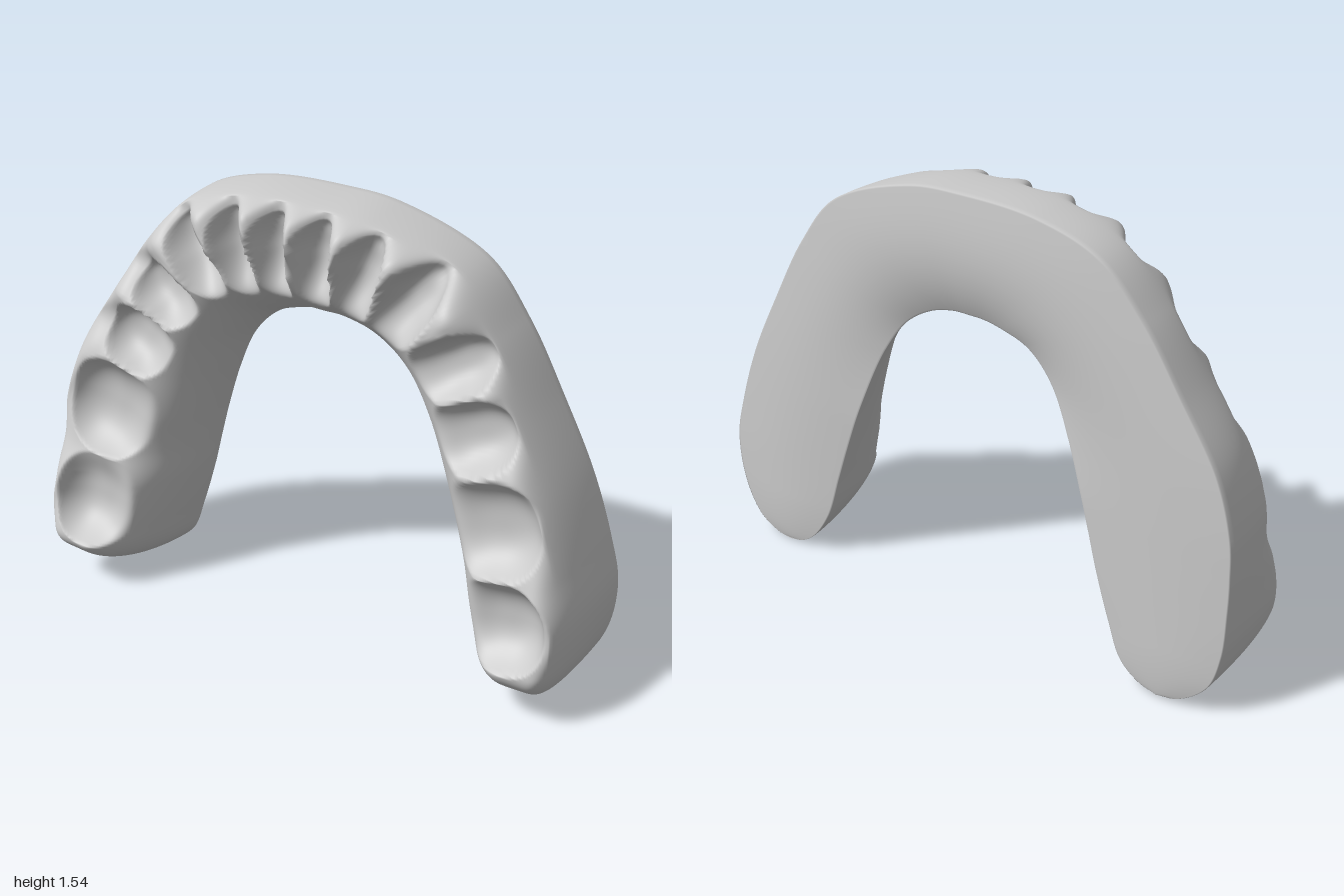
import * as THREE from 'three';

// Stations along the arch: outer x, outer y, inner x, inner y, ridge z
const STATIONS = [
  [-0.77, 0.01, -0.77, 0.01, 0.2], [-0.85, 0.03, -0.7, 0.03, 0.23], [-0.95, 0.12, -0.63, 0.09, 0.26],
  [-0.99, 0.25, -0.58, 0.22, 0.27], [-1, 0.42, -0.525, 0.4, 0.22], [-1, 0.54, -0.495, 0.52, 0.165],
  [-0.99, 0.68, -0.46, 0.65, 0.155],
  [-0.93, 0.88, -0.4, 0.82, 0.125], [-0.8, 1.09, -0.32, 0.98, 0.11], [-0.66, 1.3, -0.225, 1.073, 0.1],
  [-0.5, 1.46, -0.13, 1.107, 0.11], [-0.28, 1.53, -0.06, 1.12, 0.12], [0, 1.54, 0, 1.12, 0.13],
  [0.2, 1.52, 0.06, 1.117, 0.12], [0.5, 1.4, 0.15, 1.09, 0.1], [0.645, 1.22, 0.25, 1.02, 0.09],
  [0.775, 0.98, 0.33, 0.9, 0.1], [0.89, 0.74, 0.42, 0.68, 0.13], [0.965, 0.52, 0.49, 0.48, 0.16],
  [1, 0.36, 0.535, 0.34, 0.2], [0.98, 0.18, 0.59, 0.17, 0.2], [0.92, 0.06, 0.66, 0.06, 0.2],
  [0.84, 0.01, 0.72, 0.015, 0.18], [0.78, 0, 0.78, 0, 0.17],
];

// Tooth sockets: x, y, radial half size, tangential half size, outward angle, floor z, outward tilt, outer lip z
const SOCKETS = [
  [-0.78, 0.35, 0.15, 0.165, 178, 0.13, 0.1, 0.22], [-0.75, 0.685, 0.165, 0.175, 168, 0.05, 0.1, 0.11],
  [-0.65, 0.95, 0.125, 0.12, 158, 0, 0.2, 0.04], [-0.55, 1.14, 0.11, 0.105, 145, -0.02, 0.2, 0],
  [-0.42, 1.31, 0.125, 0.082, 125, -0.03, 0.25, -0.02], [-0.26, 1.36, 0.125, 0.075, 105, -0.02, 0.1, 0],
  [-0.11, 1.375, 0.12, 0.076, 94, -0.02, 0.1, 0], [0.045, 1.38, 0.12, 0.076, 87, -0.02, 0.1, 0],
  [0.2, 1.36, 0.125, 0.077, 73, -0.02, 0.1, -0.01], [0.36, 1.295, 0.135, 0.09, 55, -0.03, 0.3, -0.06],
  [0.53, 1.135, 0.125, 0.105, 30, -0.02, 0.25, -0.02], [0.615, 0.93, 0.135, 0.125, 22, 0, 0.2, 0.03],
  [0.71, 0.65, 0.165, 0.165, 14, 0.04, 0.1, 0.09], [0.78, 0.345, 0.155, 0.155, 5, 0.08, 0.1, 0.16],
].map(([x, y, r, w, deg, floor, tilt, lip]) => {
  const a = deg * Math.PI / 180;
  return { x, y, r, w, c: Math.cos(a), s: Math.sin(a), floor, tilt, lip };
});

const { lerp, smoothstep } = THREE.MathUtils;
const backZ = (x, y) => -0.2 - 0.05 * x - 0.013 * (1 - y / 1.54);

// Ridge height (0..1) across the arch: full outer shoulder, softer inner slope
function ridge(t, inner) {
  if (t < 0.28) return Math.sqrt(1 - (1 - t / 0.28) ** 4);
  if (t < inner) return 1;
  return Math.max(0, 1 - ((t - inner) / (1 - inner)) ** 2.3) ** 0.75;
}

// Lower the gum margin beside each socket, then press the sockets in with a crisp rim
function carve(x, y, z) {
  let gum = z;
  const near = SOCKETS.map(k => {
    const dx = x - k.x, dy = y - k.y;
    return { k, radial: dx * k.c + dy * k.s, tangent: dy * k.c - dx * k.s };
  }).filter(n => Math.hypot(n.radial, n.tangent) < 0.45);
  for (const { k, radial, tangent } of near) {
    const scallop = Math.exp(-((1.35 * tangent / k.w) ** 2)) * smoothstep(radial, -0.2 * k.r, 0.9 * k.r);
    gum = Math.min(gum, z - Math.max(0, z - k.lip) * scallop);
  }
  let result = gum;
  const open = smoothstep(y, 0.8, 1.3);
  for (const { k, radial, tangent } of near) {
    // Front sockets run out onto the inner slope
    const reach = radial < 0 ? k.r * (1 + 0.45 * open) : k.r;
    const power = lerp(2.5, 2.1, open);
    const d = Math.abs(radial / reach) ** 2.5 + Math.abs(tangent / k.w) ** power;
    if (d >= 1) continue;
    const floor = k.floor - k.tilt * radial;
    result = Math.min(result, gum - Math.max(0, gum - floor) * (1 - d ** 1.25));
  }
  return result;
}

function archGeometry(nu = 460, nv = 84, nb = 14) {
  const outer = new THREE.CatmullRomCurve3(STATIONS.map(s => new THREE.Vector3(s[0], s[1], s[4])));
  const inner = new THREE.CatmullRomCurve3(STATIONS.map(s => new THREE.Vector3(s[2], s[3], 0)));
  const pos = [], index = [], row = nv + nb;
  for (let i = 0; i <= nu; i++) {
    const o = outer.getPoint(i / nu), n = inner.getPoint(i / nu);
    const y0 = (o.y + n.y) / 2;
    // Rounded end of each leg, and a wider inner slope behind the front teeth
    const end = Math.max(0, 1 - (1 - Math.min(1, Math.max(0, y0 - 0.005) / 0.2)) ** 2) ** 0.65;
    const shoulder = lerp(0.43, 0.3, smoothstep(y0, 0.5, 1.2));
    const lift = 0.04 * smoothstep(y0, 0.6, 1.2);
    // Slightly crowned back, eased off toward the inner edge of the arch
    const back = (x, y, t) => backZ(x, y) + lift * t ** 4 - 0.016 * Math.sin(Math.PI * t) * end;
    for (let j = 0; j < row; j++) {
      const front = j <= nv;
      const t = 0.5 - 0.5 * Math.cos(Math.PI * (front ? j / nv : 1 - (j - nv) / nb));
      const x = o.x + (n.x - o.x) * t, y = o.y + (n.y - o.y) * t;
      const b = back(x, y, t);
      pos.push(x, y, front ? carve(x, y, b + (o.z - b) * ridge(t, shoulder) * end) : b);
    }
  }
  // Strips around the closed cross-section
  for (let i = 0; i < nu; i++) {
    for (let j = 0; j < row; j++) {
      const a = i * row + j, b = i * row + (j + 1) % row;
      index.push(a, b, a + row, b, b + row, a + row);
    }
  }
  const geo = new THREE.BufferGeometry();
  geo.setAttribute('position', new THREE.Float32BufferAttribute(pos, 3));
  geo.setIndex(index);
  geo.computeVertexNormals();
  return geo;
}

export function createModel() {
  const group = new THREE.Group();
  group.name = 'dentalArch';
  const gum = new THREE.Mesh(archGeometry(), new THREE.MeshStandardMaterial({ color: 0xcccccc }));
  gum.name = 'gumWithToothSockets';
  group.add(gum);
  return group;
}
